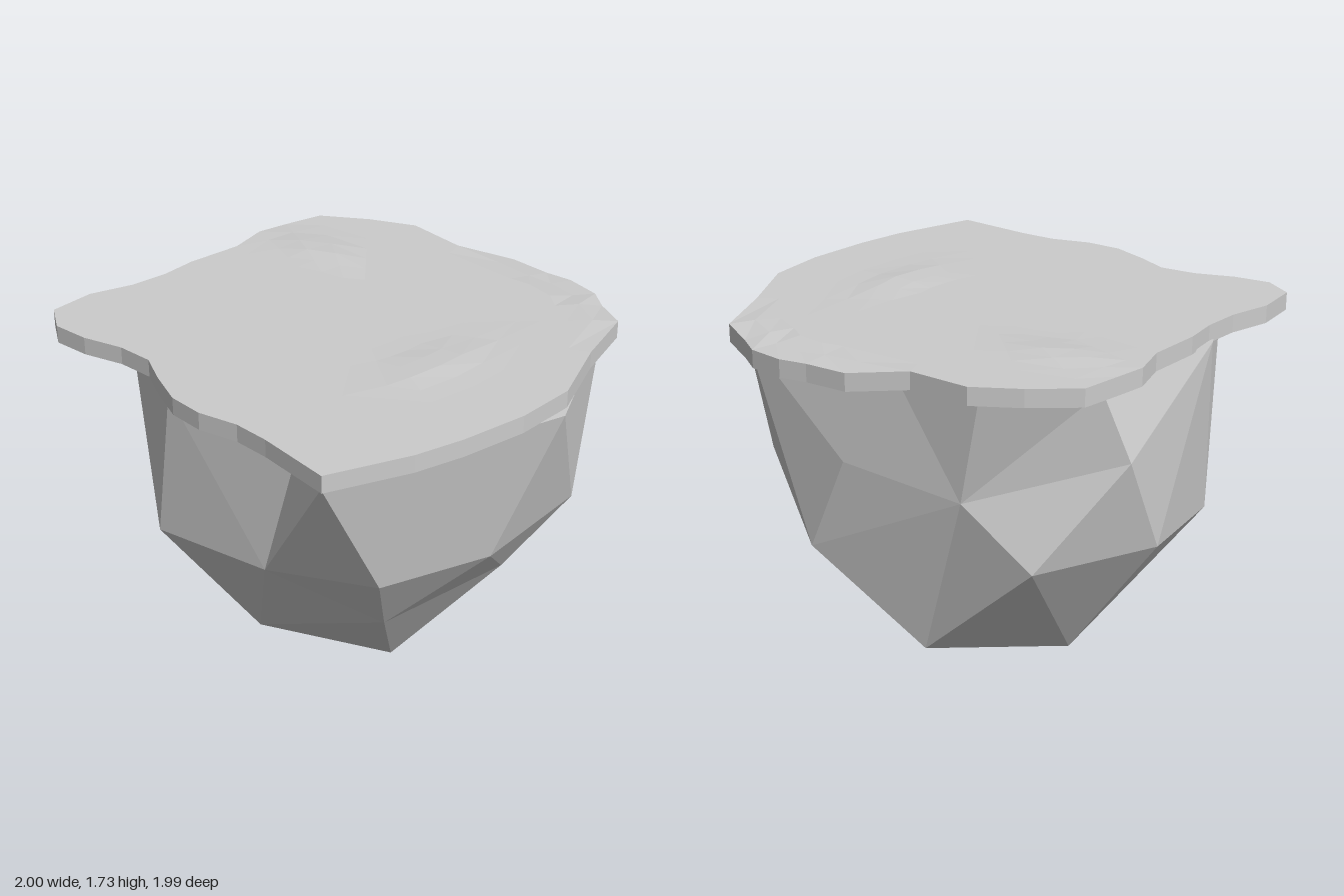
import * as THREE from 'three';
import { ConvexGeometry } from 'three/addons/geometries/ConvexGeometry.js';

const material = () => new THREE.MeshStandardMaterial({ color: 0xcccccc, flatShading: true });

// Faceted rock corners, from the rim down to the tip
const ROCK = [
  // top centre and rim, inside the slab
  [0, 1.64, 0],
  [-0.94, 1.64, 0.36], [-0.79, 1.64, 0.65], [-0.16, 1.64, 0.9], [0.46, 1.64, 0.71],
  [0.79, 1.64, 0.88], [1.0, 1.63, -0.22], [0.64, 1.64, -0.8], [-0.2, 1.64, -0.8],
  [-0.55, 1.64, -0.72], [-0.9, 1.64, -0.38],
  // upper belt at the back
  [-1.0, 1.33, -0.31], [-0.42, 1.12, -0.68], [0.055, 1.24, -0.86],
  // middle belt
  [-0.99, 0.87, -0.08], [-0.84, 0.79, 0.52], [-0.27, 0.92, 0.91], [0.28, 0.94, 0.77],
  [0.73, 0.98, 0.53], [0.83, 0.95, 0], [0.78, 1.0, -0.53], [0.26, 0.79, -0.85], [-0.72, 0.85, -0.59],
  // lower belt and tip
  [0.5, 0.56, 0.3], [0.55, 0.59, -0.35], [-0.08, 0.33, 0.53], [-0.53, 0.23, -0.06],
  [-0.14, 0.31, -0.58], [0.14, 0, -0.06],
].map((p) => new THREE.Vector3(...p));

// Connect the corners as if they lay on a sphere, then put each back in its
// place, so the rock may have hollows
function rockGeometry() {
  const centre = new THREE.Vector3(0, 0.95, 0);
  const directions = ROCK.map((p) => p.clone().sub(centre).normalize());
  const geometry = new ConvexGeometry(directions);
  const position = geometry.attributes.position;
  const v = new THREE.Vector3();
  for (let i = 0; i < position.count; i++) {
    v.fromBufferAttribute(position, i);
    const { x, y, z } = ROCK[directions.findIndex((d) => d.distanceTo(v) < 1e-4)];
    position.setXYZ(i, x, y, z);
  }
  geometry.computeVertexNormals();
  return geometry;
}

// Wavy slab outline (x, z), anticlockwise seen from above
const OUTLINE = [
  [-0.96, -0.36], [-0.98, -0.22], [-0.93, -0.05], [-0.94, 0.2], [-0.92, 0.36], [-0.93, 0.53],
  [-0.98, 0.72], [-0.96, 0.92], [-0.83, 0.99], [-0.67, 0.96], [-0.5, 0.89], [-0.34, 0.865],
  [-0.2, 0.92], [-0.03, 0.97], [0.13, 0.96], [0.3, 0.9], [0.46, 0.885], [0.8, 0.885],
  [0.92, 0.52], [0.96, 0.3], [0.985, 0], [0.96, -0.27], [0.8, -0.57], [0.68, -0.86],
  [0.52, -0.93], [0.42, -0.99], [0.26, -1], [0.14, -0.97], [-0.05, -0.95], [-0.28, -0.82],
  [-0.56, -0.81], [-0.75, -0.69], [-0.93, -0.54],
];

// Slab surface heights: nearly flat, two low bumps, drooping at the back
const bump = (x, z, cx, cz, rx, rz, h) => h * Math.exp(-(((x - cx) / rx) ** 2) - ((z - cz) / rz) ** 2);
const droop = (z) => 0.025 * THREE.MathUtils.smoothstep(-z, 0.8, 0.95);
const topY = (x, z) => 1.71 - droop(z)
  + bump(x, z, -0.65, -0.3, 0.2, 0.1, 0.022) + bump(x, z, 0.46, 0, 0.1, 0.22, 0.015);
const bottomY = (x, z) => 1.63 - droop(z);

function slabGeometry() {
  // rings run from the top centre out to the rim, down, and back in underneath
  const rings = [];
  for (let k = 0; k <= 10; k++) rings.push([k / 10, topY]);
  rings.push([1, bottomY], [0.5, bottomY], [0, bottomY]);
  const n = OUTLINE.length, positions = [], index = [];
  rings.forEach(([s, height], r) => OUTLINE.forEach(([ox, oz], i) => {
    const x = ox * s, z = oz * s;
    positions.push(x, height(x, z), z);
    if (r === rings.length - 1) return;
    const a = r * n + i, b = r * n + (i + 1) % n;
    if (r < rings.length - 2) index.push(a, a + n, b + n);
    else index.push(a, a + n, b);
    if (r > 0 && r < rings.length - 2) index.push(a, b + n, b);
  }));
  const geometry = new THREE.BufferGeometry();
  geometry.setAttribute('position', new THREE.Float32BufferAttribute(positions, 3));
  geometry.setIndex(index);
  geometry.computeVertexNormals();
  return geometry;
}

export function createModel() {
  const group = new THREE.Group();
  group.name = 'floatingIsland';

  const rock = new THREE.Mesh(rockGeometry(), material());
  rock.name = 'rock';

  const slab = new THREE.Mesh(slabGeometry(), material());
  slab.name = 'groundSlab';

  group.add(rock, slab);
  return group;
}
